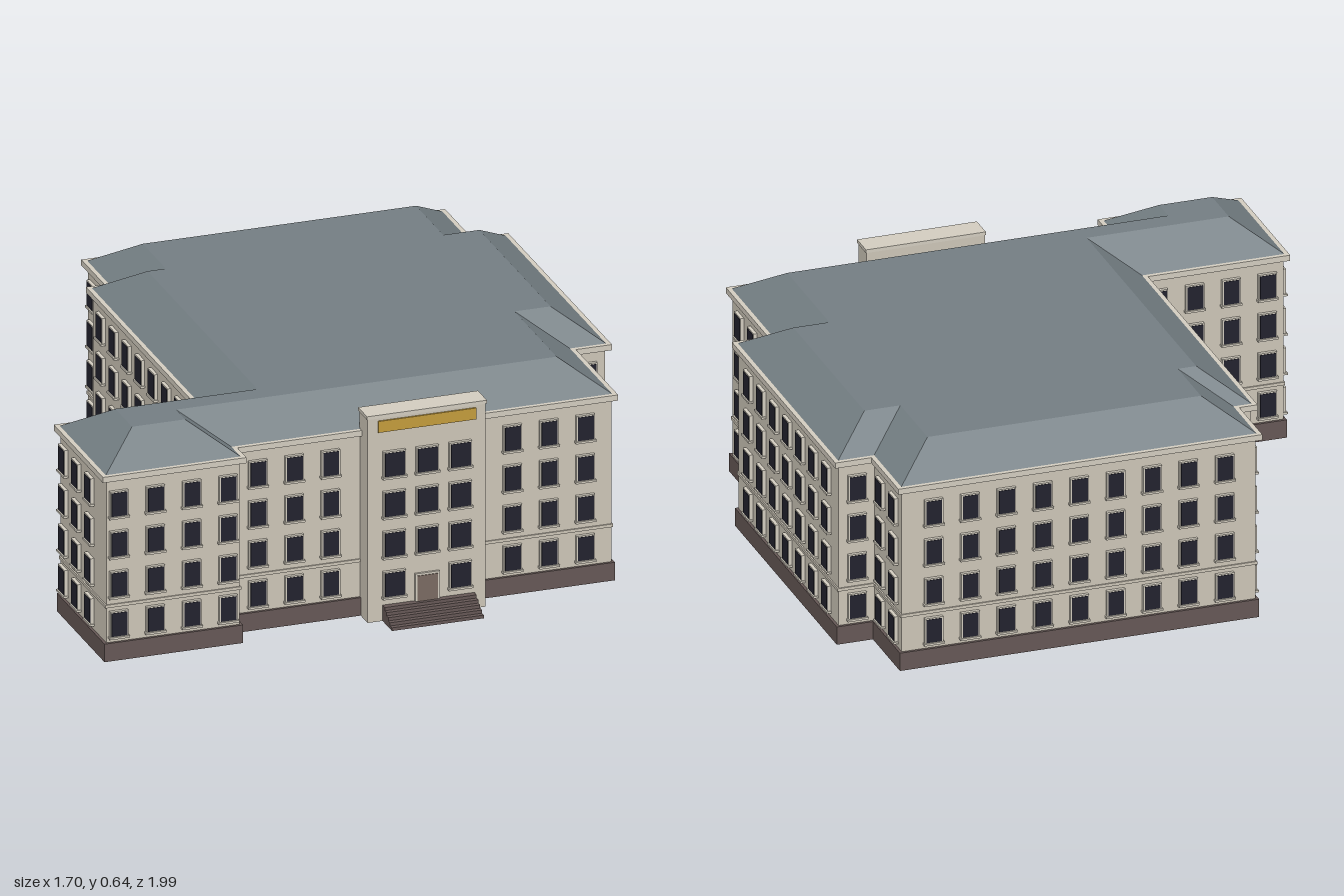
import * as THREE from 'three';
import { mergeGeometries } from 'three/addons/utils/BufferGeometryUtils.js';

const mat = (name, color, side = THREE.FrontSide) => {
  const m = new THREE.MeshStandardMaterial({ color, side });
  m.name = name;
  return m;
};

// Eaves outline (x, z), plus the number of window columns on the wall that starts at each corner
const OUTLINE = [
  [-0.789, -0.744, 2], [-0.567, -0.744, 1], [-0.567, -0.85, 7], [0.281, -0.85, 1],
  [0.281, -0.744, 3], [0.626, -0.744, 10], [0.626, 0.376, 0], [0.70, 0.376, 4],
  [0.70, 0.798, 3], [0.298, 0.798, 4], [0.298, 0.38, 8], [-0.60, 0.38, 0],
  [-0.60, 0.326, 2], [-0.789, 0.326, 9],
];
const N = OUTLINE.length;
const FLOORS = [0.11, 0.23, 0.35, 0.47];

const unit = (p, q) => {
  const l = Math.hypot(q[0] - p[0], q[1] - p[1]);
  return [(q[0] - p[0]) / l, (q[1] - p[1]) / l, l];
};

// Moves every side of the right-angled outline inwards by d
function inset(d) {
  return OUTLINE.map((p, i) => {
    const a = unit(OUTLINE[(i + N - 1) % N], p);
    const b = unit(p, OUTLINE[(i + 1) % N]);
    return [p[0] - d * (a[1] + b[1]), p[1] + d * (a[0] + b[0])];
  });
}

// Flat slab or ring between two heights
function slab(outer, y0, y1, inner) {
  const pts = (l) => l.map((p) => new THREE.Vector2(p[0], p[1]));
  const shape = new THREE.Shape(pts(outer));
  if (inner) shape.holes.push(new THREE.Path(pts(inner)));
  const g = new THREE.ExtrudeGeometry(shape, { depth: y1 - y0, bevelEnabled: false });
  return g.rotateX(Math.PI / 2).translate(0, y1, 0);
}

// Sloping roof skirt between two outlines
function skirt(low, y0, high, y1) {
  const v = [];
  for (let i = 0; i < N; i++) {
    const j = (i + 1) % N;
    const a = [low[i][0], y0, low[i][1]], b = [high[i][0], y1, high[i][1]];
    const c = [high[j][0], y1, high[j][1]], d = [low[j][0], y0, low[j][1]];
    v.push(...a, ...b, ...c, ...a, ...c, ...d);
  }
  const g = new THREE.BufferGeometry();
  g.setAttribute('position', new THREE.Float32BufferAttribute(v, 3));
  g.computeVertexNormals();
  return g;
}

export function createModel() {
  const root = new THREE.Group();
  root.name = 'building';
  const wallMat = mat('wall beige', 0xcdc6b8);
  const trimMat = mat('trim cream', 0xd3cdc0);
  const plinthMat = mat('plinth brown', 0x665856);
  const roofMat = mat('roof grey', 0x747e83);
  const glassMat = mat('window dark', 0x22222e);
  const doorMat = mat('door brown', 0x7a6b62);
  const signMat = mat('sign gold', 0xc49c3c);

  const add = (name, geometry, material) => {
    const m = new THREE.Mesh(geometry, material);
    m.name = name;
    root.add(m);
    return m;
  };
  const box = (x0, x1, y0, y1, z0, z1) =>
    new THREE.BoxGeometry(x1 - x0, y1 - y0, z1 - z0)
      .translate((x0 + x1) / 2, (y0 + y1) / 2, (z0 + z1) / 2);

  // Shell, open underneath up to the belt slab
  const wall = inset(0.015);
  add('walls', slab(wall, 0, 0.545, inset(0.022)), wallMat);
  add('plinth', slab(inset(0.007), 0.001, 0.055, inset(0.0155)), plinthMat);
  add('beltCourse', slab(inset(0.011), 0.16, 0.169), wallMat);
  add('cornice', slab(OUTLINE, 0.542, 0.559), trimMat);

  // Hipped roof with a flat top
  const ridge = inset(0.133);
  add('roofSlopes', skirt(inset(0.013), 0.559, ridge, 0.64), roofMat);
  add('roofTop', slab(ridge, 0.636, 0.64), roofMat);

  // Windows: raised frame, sill and thin pane, gathered for merging
  const frames = [], panes = [];
  function addWindow(x, y, z, nx, nz, w, h = 0.07) {
    const angle = Math.atan2(nx, nz);
    const put = (list, bw, bh, depth, front, dy) => list.push(
      new THREE.BoxGeometry(bw, bh, depth).translate(0, dy, front - depth / 2)
        .rotateY(angle).translate(x, y, z));
    put(frames, w + 0.008, h + 0.008, 0.013, 0.01, 0);
    put(frames, w + 0.014, 0.006, 0.017, 0.014, -h / 2 - 0.005);
    put(panes, w, h, 0.004, 0.0115, 0);
  }
  const pitch = 0.107;
  wall.forEach((p, i) => {
    const q = wall[(i + 1) % N];
    const count = OUTLINE[i][2];
    const [ex, ez, len] = unit(p, q);
    const shift = i === 8 ? 0.047 : 0;
    for (let k = 0; k < count; k++) {
      // The entrance block covers the middle of the right wall
      if (i === 5 && k > 2 && k < 7) continue;
      const t = len / 2 + (k - (count - 1) / 2) * pitch + shift;
      for (const y of FLOORS) addWindow(p[0] + ex * t, y, p[1] + ez * t, ez, -ex, 0.046);
    }
  });

  // Entrance block with wide windows, door, gold panel and steps
  const face = 0.673, mid = -0.164;
  add('entranceBlock', box(0.605, face, 0, 0.617, -0.3375, 0.01), wallMat);
  add('entranceCap', box(0.603, face + 0.003, 0.61, 0.62, -0.34, 0.0125), trimMat);
  for (let k = -1; k <= 1; k++) {
    FLOORS.forEach((y, f) => {
      if (k !== 0 || f > 0) addWindow(face, y, mid + k * 0.097, 1, 0, 0.058);
    });
  }
  add('doorFrame', box(face - 0.003, face + 0.007, 0.04, 0.13, mid - 0.036, mid + 0.036), trimMat);
  add('door', box(face, face + 0.009, 0.04, 0.124, mid - 0.03, mid + 0.03), doorMat);
  add('signPanel', box(face - 0.002, face + 0.005, 0.568, 0.602, mid - 0.144, mid + 0.144), signMat);

  const steps = [];
  for (let k = 0; k < 5; k++) {
    steps.push(box(face, 0.75 - k * 0.0145, k * 0.0095, (k + 1) * 0.0095, -0.304, -0.034));
  }
  add('entranceSteps', mergeGeometries(steps), plinthMat);

  add('windowFrames', mergeGeometries(frames), trimMat);
  add('windowPanes', mergeGeometries(panes), glassMat);

  // The whole block stands at an angle to the axes
  root.rotation.y = -THREE.MathUtils.degToRad(20.8);
  const model = new THREE.Group();
  model.name = 'model';
  model.add(root);
  return model;
}
